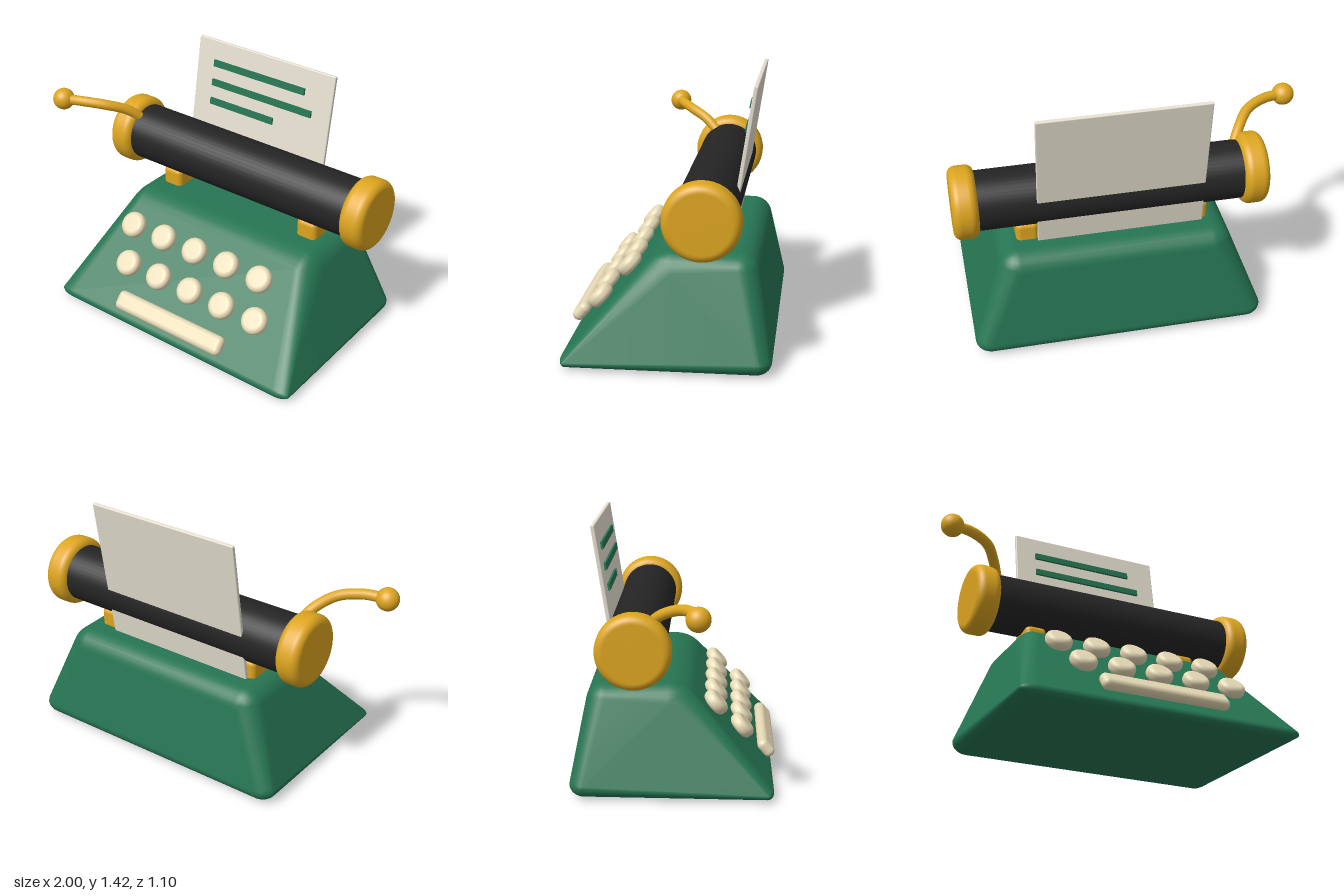
import * as THREE from 'three';
import { mergeVertices } from 'three/addons/utils/BufferGeometryUtils.js';
import { RoundedBoxGeometry } from 'three/addons/geometries/RoundedBoxGeometry.js';
import { ConvexGeometry } from 'three/addons/geometries/ConvexGeometry.js';

const mat = (name, color) => {
  const m = new THREE.MeshStandardMaterial({ color });
  m.name = name;
  return m;
};

export function createModel() {
  const green = mat('green enamel', 0x267553);
  const gold = mat('brass', 0xdda520);
  const black = mat('black rubber', 0x242424);
  const cream = mat('cream', 0xe6d9b5);
  const white = mat('paper white', 0xe6e0d0);

  const model = new THREE.Group();
  model.name = 'typewriter';
  const add = (name, geometry, material, x = 0, y = 0, z = 0, parent = model) => {
    const mesh = new THREE.Mesh(geometry, material);
    mesh.name = name;
    mesh.position.set(x, y, z);
    parent.add(mesh);
    return mesh;
  };

  // Disc about the y axis with rounded rims
  const roundedDisc = (radius, height, rim) => {
    const pts = [new THREE.Vector2(0, -height / 2)];
    for (const end of [-1, 1]) {
      for (let i = 0; i <= 8; i++) {
        const a = (end < 0 ? i - 8 : i) / 8 * Math.PI / 2;
        pts.push(new THREE.Vector2(radius - rim + rim * Math.cos(a),
          end * (height / 2 - rim) + rim * Math.sin(a)));
      }
    }
    pts.push(new THREE.Vector2(0, height / 2));
    return new THREE.LatheGeometry(pts, 48);
  };

  // Body: hull of an ellipsoid at each corner, [half width, y, z, rx, ry, rz]
  const bodyX = 0.1375;
  const corners = [
    [0.717, 0.038, 0.5, 0.09, 0.033, 0.034],
    [0.717, 0.07, -0.47, 0.09, 0.065, 0.08],
    [0.55, 0.383, -0.03, 0.12, 0.2, 0.2],
    [0.53, 0.473, -0.365, 0.12, 0.11, 0.11],
  ];
  const points = [];
  const ball = new THREE.SphereGeometry(1, 24, 16).attributes.position;
  for (const [x, y, z, rx, ry, rz] of corners) {
    for (const side of [-1, 1]) {
      for (let i = 0; i < ball.count; i++) {
        points.push(new THREE.Vector3(side * x + ball.getX(i) * rx,
          y + ball.getY(i) * ry, z + ball.getZ(i) * rz));
      }
    }
  }
  points.push(new THREE.Vector3(0, 0, 0));
  let hull = new ConvexGeometry(points);
  hull.deleteAttribute('normal');
  hull = mergeVertices(hull, 1e-4);
  hull.computeVertexNormals();
  add('body', hull, green, bodyX);

  // Roller with an end knob on each side
  const axleY = 0.8175, axleZ = -0.2;
  add('roller', new THREE.CylinderGeometry(0.1625, 0.1625, 1.5, 48), black,
    bodyX, axleY, axleZ).rotation.z = Math.PI / 2;
  const knob = roundedDisc(0.199, 0.14, 0.045);
  for (const x of [-0.652, 0.928]) {
    add('rollerKnob', knob, gold, x, axleY, axleZ).rotation.z = Math.PI / 2;
  }

  // Posts carrying the roller
  const post = new RoundedBoxGeometry(0.125, 0.18, 0.185, 4, 0.03);
  for (const x of [-0.335, 0.605]) add('rollerPost', post, gold, x, 0.595, axleZ);

  // Return lever
  const leverPath = new THREE.CatmullRomCurve3([
    new THREE.Vector3(-0.57, 0.925, -0.14),
    new THREE.Vector3(-0.625, 1.0, -0.06),
    new THREE.Vector3(-0.70, 1.045, 0.035),
    new THREE.Vector3(-0.82, 1.06, 0.105),
    new THREE.Vector3(-0.94, 1.053, 0.137),
  ]);
  add('returnLever', new THREE.TubeGeometry(leverPath, 32, 0.029, 16), gold);
  add('leverStartCap', new THREE.SphereGeometry(0.029, 16, 12), gold, -0.57, 0.925, -0.14);
  add('leverBall', new THREE.SphereGeometry(0.063, 32, 20), gold, -0.937, 1.053, 0.137);

  // Sheet of paper leaning back, with three typed lines
  const sheet = new THREE.Group();
  sheet.name = 'sheet';
  sheet.position.set(0.096, 0.9875, -0.364);
  sheet.rotation.x = -0.153;
  model.add(sheet);
  add('paper', new RoundedBoxGeometry(0.915, 0.865, 0.022, 2, 0.006), white, 0, 0, 0, sheet);
  for (const [right, y] of [[0.377, 1.284], [0.436, 1.171], [0.195, 1.06]]) {
    const width = right + 0.24;
    add('typedLine', new THREE.BoxGeometry(width, 0.038, 0.016), green,
      -0.24 + width / 2 - 0.096, (y - 0.9875) / Math.cos(0.153), 0.015, sheet);
  }

  // Two rows of keys and a space bar on the sloping front
  const slope = 0.85;
  const key = roundedDisc(0.075, 0.07, 0.03);
  for (const [x0, y, z] of [[-0.345, 0.458, 0.224], [-0.267, 0.302, 0.368]]) {
    for (let i = 0; i < 5; i++) {
      add('key', key, cream, x0 + i * 0.2213, y, z).rotation.x = slope;
    }
  }
  add('spaceBar', new RoundedBoxGeometry(0.735, 0.065, 0.11, 5, 0.031), cream,
    0.1365, 0.148, 0.503).rotation.x = slope;

  return model;
}
